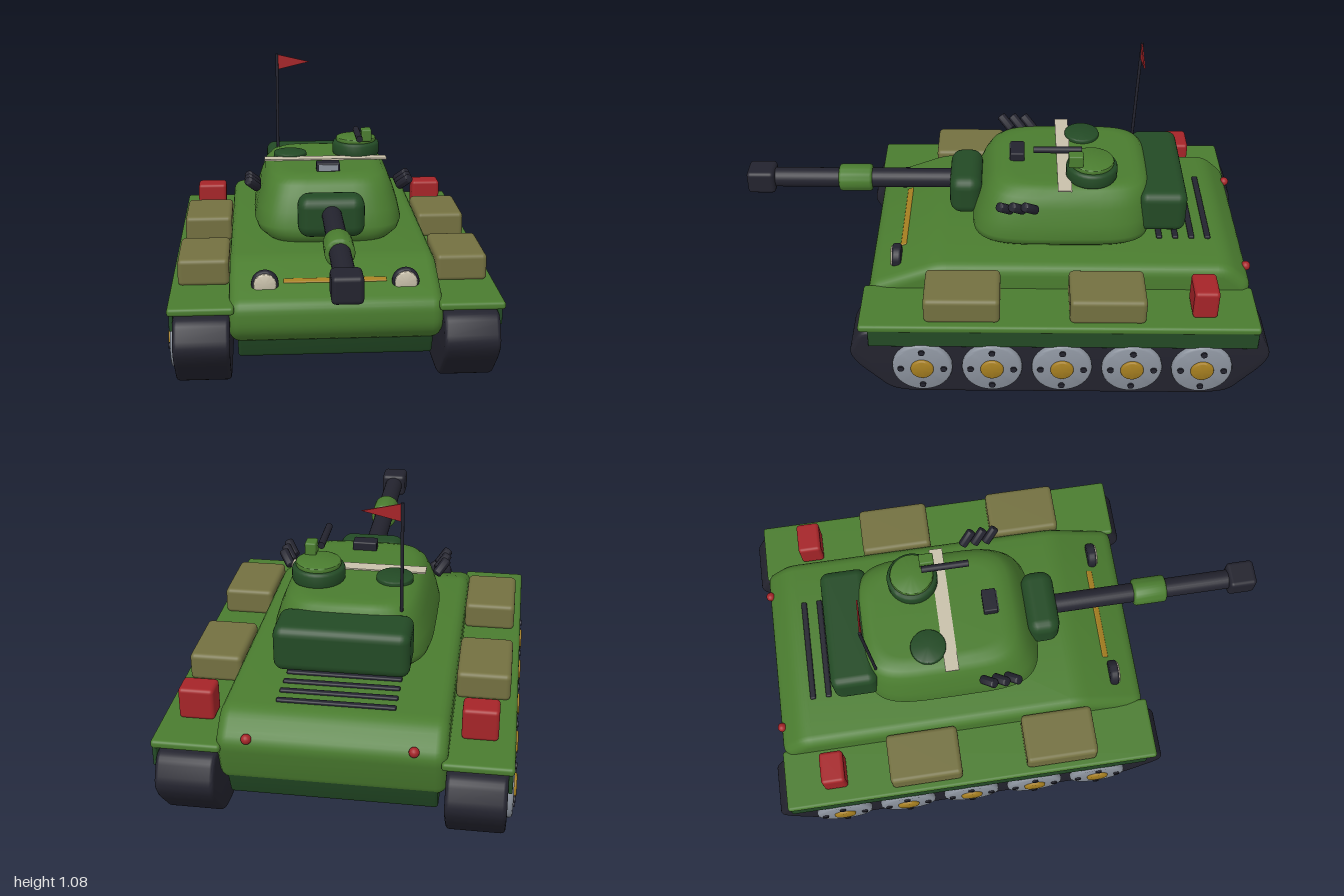
import * as THREE from 'three';
import { toCreasedNormals } from 'three/addons/utils/BufferGeometryUtils.js';
import { RoundedBoxGeometry } from 'three/addons/geometries/RoundedBoxGeometry.js';

const mat = (name, color, side = THREE.FrontSide) => {
  const m = new THREE.MeshStandardMaterial({ color, side });
  m.name = name;
  return m;
};

export function createModel() {
  const green = mat('armour green', 0x4a7c2f);
  const darkGreen = mat('dark green', 0x234a25);
  const dark = mat('dark metal', 0x23232e);
  const khaki = mat('khaki', 0x737040);
  const red = mat('red', 0xa52428, THREE.DoubleSide);
  const gold = mat('gold', 0xa57e20);
  const cream = mat('cream', 0xc8c0aa);
  const grey = mat('wheel grey', 0x8b929d);

  const model = new THREE.Group();
  model.name = 'tank';

  const add = (name, geo, material, x = 0, y = 0, z = 0, parent = model) => {
    const mesh = new THREE.Mesh(geo, material);
    mesh.name = name;
    mesh.position.set(x, y, z);
    parent.add(mesh);
    return mesh;
  };
  const group = (name, x = 0, y = 0, z = 0) => {
    const g = new THREE.Group();
    g.name = name;
    g.position.set(x, y, z);
    model.add(g);
    return g;
  };
  const rbox = (w, h, d, r = 0.015) => new RoundedBoxGeometry(w, h, d, 3, r);
  const cyl = (r, h, n = 28) => new THREE.CylinderGeometry(r, r, h, n);
  const cylX = (r, h, n) => cyl(r, h, n).rotateZ(Math.PI / 2);
  const cylZ = (r, h, n) => cyl(r, h, n).rotateX(Math.PI / 2);

  // Disc or tube with softened rims, along y
  const softCyl = (r, h, b) => toCreasedNormals(new THREE.LatheGeometry([
    [0, -h / 2], [r - b, -h / 2], [r - b * 0.3, -h / 2 + b * 0.3], [r, -h / 2 + b],
    [r, h / 2 - b], [r - b * 0.3, h / 2 - b * 0.3], [r - b, h / 2], [0, h / 2],
  ].map(([x, y]) => new THREE.Vector2(x, y)), 32), 0.9);

  // Side profile of [z, y] corners, rounded, extruded across x
  const sideProfile = (pts, width, bevel, round) => {
    const v = pts.map(([z, y]) => new THREE.Vector2(z, y));
    const shape = new THREE.Shape();
    v.forEach((p, i) => {
      const prev = v[(i + v.length - 1) % v.length], next = v[(i + 1) % v.length];
      const toward = (q) => p.clone().lerp(q, Math.min(0.45, round / p.distanceTo(q)));
      const a = toward(prev), b = toward(next);
      if (i === 0) shape.moveTo(a.x, a.y); else shape.lineTo(a.x, a.y);
      shape.quadraticCurveTo(p.x, p.y, b.x, b.y);
    });
    shape.closePath();
    const geo = new THREE.ExtrudeGeometry(shape, {
      depth: width - 2 * bevel, bevelSize: bevel, bevelThickness: bevel,
      bevelOffset: -bevel, bevelSegments: 4, curveSegments: 5,
    });
    geo.translate(0, 0, bevel - width / 2).rotateY(-Math.PI / 2);
    return toCreasedNormals(geo, 0.6);
  };

  // Hull
  add('hull', sideProfile([[0.45, 0.18], [0.51, 0.24], [0.51, 0.345], [0.25, 0.445],
    [-0.85, 0.445], [-0.945, 0.36], [-0.9, 0.18]], 0.78, 0.04, 0.04), green);
  add('lowerHull', sideProfile([[0.42, 0.11], [0.46, 0.22], [-0.91, 0.22], [-0.87, 0.11]],
    0.72, 0.012, 0.015), darkGreen);
  const strip = add('frontStrip', rbox(0.38, 0.012, 0.025, 0.005), gold, 0, 0.391, 0.385);
  strip.rotation.x = 0.37;
  for (let i = 0; i < 4; i++)
    add('engineSlat', rbox(0.41, 0.02, 0.022, 0.006), dark, 0, 0.445, -0.79 + i * 0.062);

  // Running gear and fender fittings, mirrored
  const trackGeo = sideProfile([[0.34, 0], [0.42, 0.015], [0.54, 0.14], [0.57, 0.2], [0.52, 0.3],
    [-0.95, 0.3], [-1, 0.2], [-0.97, 0.14], [-0.86, 0.015], [-0.78, 0]], 0.205, 0.015, 0.035);
  const wheelGeo = softCyl(0.112, 0.05, 0.01).rotateZ(Math.PI / 2);
  const hubGeo = softCyl(0.043, 0.05, 0.006).rotateZ(Math.PI / 2);
  for (const s of [1, -1]) {
    add('track', trackGeo, dark, s * 0.489, 0, 0);
    for (let i = 0; i < 5; i++) {
      const wheel = group('roadWheel', s * 0.587, 0.143, 0.295 - i * 0.26);
      add('wheelDisc', wheelGeo, grey, 0, 0, 0, wheel);
      add('wheelHub', hubGeo, gold, s * 0.01, 0, 0, wheel);
      for (let k = 0; k < 4; k++) {
        const a = k * Math.PI / 2;
        add('wheelBolt', cylX(0.012, 0.02, 10), dark, s * 0.022,
          Math.sin(a) * 0.08, Math.cos(a) * 0.08, wheel);
      }
    }
    add('fender', rbox(0.24, 0.03, 1.47, 0.012), green, s * 0.49, 0.33, -0.21);
    add('skirt', rbox(0.015, 0.08, 1.43, 0.005), darkGreen, s * 0.598, 0.285, -0.225);
    for (const z of [0.146, -0.388])
      add('stowageBox', rbox(0.193, 0.105, 0.28, 0.018), khaki, s * 0.487, 0.392, z);
    add('fuelCan', rbox(0.125, 0.118, 0.092, 0.014), red, s * 0.488, 0.401, -0.745);

    // Lamps
    add('headlightRim', softCyl(0.05, 0.035, 0.01).rotateX(Math.PI / 2), dark, s * 0.258, 0.393, 0.405);
    add('headlightLens', softCyl(0.042, 0.02, 0.006).rotateX(Math.PI / 2), cream, s * 0.258, 0.393, 0.418);
    add('tailLight', new THREE.SphereGeometry(0.018, 16, 10), red, s * 0.28, 0.375, -0.932);

    // Smoke launchers pointing out, up and forward
    const aim = new THREE.Vector3(s * 0.5, 0.55, 0.6).normalize();
    for (let i = 0; i < 3; i++) {
      const tube = add('smokeLauncher', softCyl(0.018, 0.07, 0.004), dark,
        s * 0.298, 0.653, -0.01 - i * 0.046);
      tube.quaternion.setFromUnitVectors(new THREE.Vector3(0, 1, 0), aim);
    }
  }

  // Turret lofted from rounded rectangles: height, half width, front z, back z
  const levels = [[0.43, 0.23, 0.08, -0.53], [0.45, 0.255, 0.105, -0.555], [0.475, 0.283, 0.118, -0.568],
    [0.505, 0.294, 0.118, -0.572], [0.56, 0.282, 0.102, -0.57], [0.62, 0.263, 0.078, -0.564],
    [0.66, 0.246, 0.055, -0.556], [0.682, 0.225, 0.03, -0.54], [0.692, 0.2, 0, -0.515],
    [0.695, 0.175, -0.03, -0.49]];
  const N = 56, pos = [], idx = [];
  const bend = (v) => Math.sign(v) * Math.abs(v) ** 0.45;
  levels.forEach(([y, w, f, b], j) => {
    for (let i = 0; i < N; i++) {
      const a = (i / N) * Math.PI * 2;
      pos.push(w * bend(Math.cos(a)), y, (f + b) / 2 + (f - b) / 2 * bend(Math.sin(a)));
      if (j === levels.length - 1) continue;
      const p = j * N + i, q = j * N + (i + 1) % N;
      idx.push(p, p + N, q, q, p + N, q + N);
    }
  });
  const last = (levels.length - 1) * N;
  pos.push(0, 0.695, -0.26);
  for (let i = 0; i < N; i++) idx.push(last + N, last + (i + 1) % N, last + i);
  const turret = new THREE.BufferGeometry();
  turret.setAttribute('position', new THREE.Float32BufferAttribute(pos, 3));
  turret.setIndex(idx);
  turret.computeVertexNormals();
  add('turret', turret, green);
  add('turretBustle', rbox(0.475, 0.17, 0.18, 0.035), darkGreen, 0, 0.582, -0.605);
  add('turretStripe', new THREE.BoxGeometry(0.5, 0.006, 0.052), cream, 0, 0.697, -0.232);

  // Gun
  add('mantlet', rbox(0.256, 0.162, 0.125, 0.045), darkGreen, 0, 0.57, 0.143);
  add('barrel', cylZ(0.038, 0.78), dark, 0, 0.582, 0.56);
  add('barrelSleeve', softCyl(0.053, 0.13, 0.01).rotateX(Math.PI / 2), green, 0, 0.582, 0.577);
  add('muzzle', rbox(0.104, 0.094, 0.108, 0.016), dark, 0, 0.582, 0.946);

  // Roof fittings
  add('periscope', rbox(0.092, 0.045, 0.055, 0.006), dark, 0, 0.705, -0.055);
  add('periscopeGlass', new THREE.BoxGeometry(0.076, 0.024, 0.006), grey, 0, 0.71, -0.027);
  add('hatch', softCyl(0.068, 0.025, 0.006), darkGreen, -0.143, 0.697, -0.31);
  add('cupola', softCyl(0.097, 0.06, 0.012), darkGreen, 0.133, 0.718, -0.335);
  add('cupolaLid', softCyl(0.083, 0.02, 0.007), green, 0.133, 0.755, -0.335);
  add('machineGunMount', rbox(0.042, 0.05, 0.055, 0.006), green, 0.17, 0.785, -0.272);
  add('machineGun', cylZ(0.013, 0.18, 16), dark, 0.13, 0.802, -0.205);

  // Antenna and pennant
  const antenna = add('antenna', cyl(0.006, 0.41, 10), dark, -0.19, 0.877, -0.523);
  antenna.rotation.x = -0.03;
  const pennant = new THREE.Shape([[0, 0.032], [0, -0.032], [0.135, 0]]
    .map(([x, y]) => new THREE.Vector2(x, y)));
  add('pennant', new THREE.ExtrudeGeometry(pennant, { depth: 0.005, bevelEnabled: false }),
    red, -0.187, 1.047, -0.531);

  return model;
}
